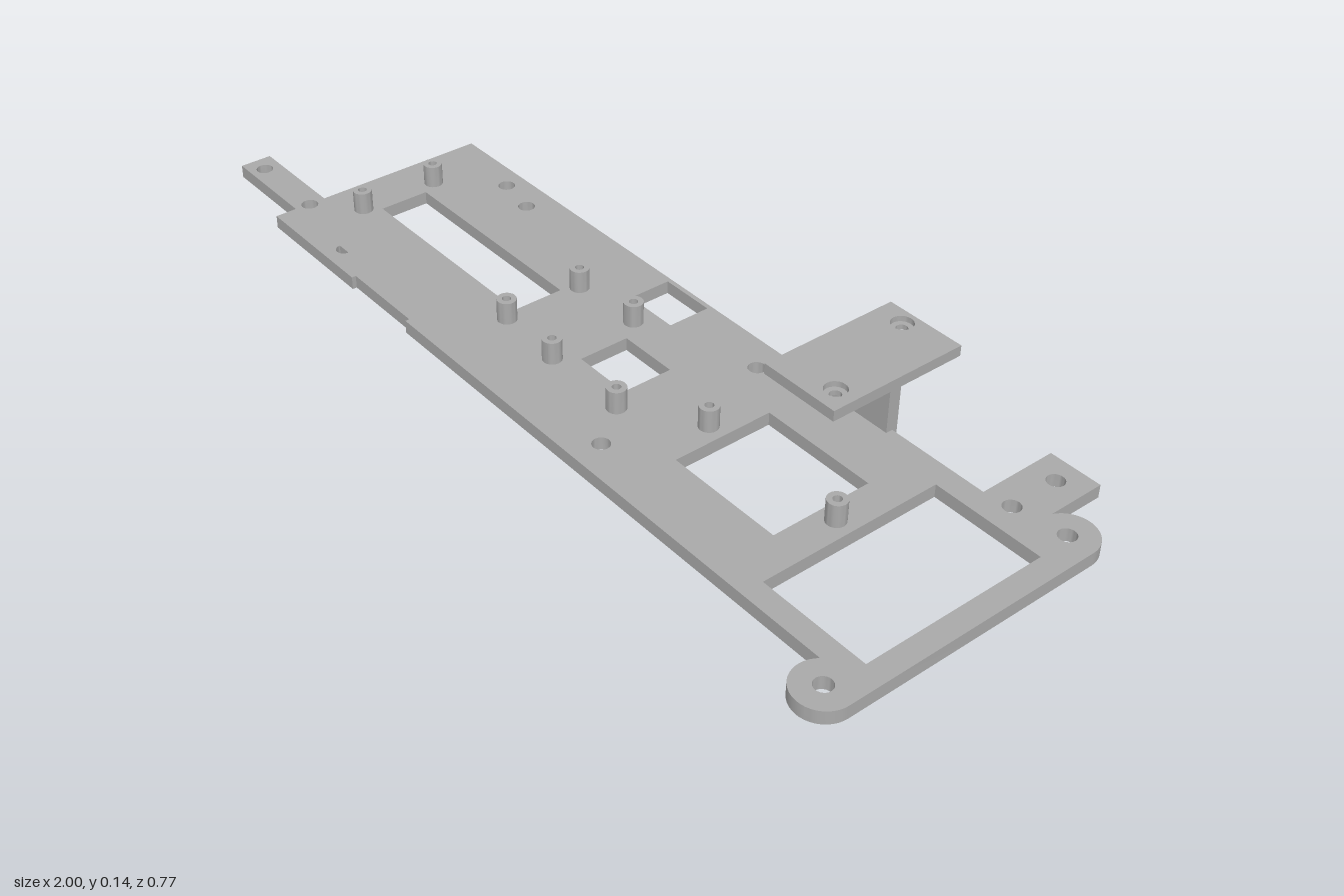
import * as THREE from 'three';
import { toCreasedNormals } from 'three/addons/utils/BufferGeometryUtils.js';

const BASE_TOP = 0.028;

// Closed path from [x, z] corners
const polygon = (points, Type = THREE.Path) =>
  new Type(points.map(([x, z]) => new THREE.Vector2(x, z)));

const rect = (x0, x1, z0, z1, Type) =>
  polygon([[x0, z0], [x1, z0], [x1, z1], [x0, z1]], Type);

const circle = (x, z, r, Type = THREE.Path) =>
  new Type().absarc(x, z, r, 0, Math.PI * 2, false);

// Extrude a plan drawn in x, z between two heights
function slab(shape, y0, y1) {
  const geometry = new THREE.ExtrudeGeometry(shape, {
    depth: y1 - y0, bevelEnabled: false, curveSegments: 12,
  });
  geometry.rotateX(Math.PI / 2);
  geometry.translate(0, y1, 0);
  return toCreasedNormals(geometry, 0.6);
}

// Screw posts and plain screw holes, as [x, z]
const standoffs = [
  [-0.68, -0.048], [-0.68, 0.13], [-0.16, -0.048], [-0.16, 0.13],
  [0, -0.057], [0, 0.14], [0.196, 0.14], [0.342, 0.043], [0.674, 0.043],
];
const screwHoles = [
  [-0.572, -0.165], [-0.476, -0.148], [0.262, -0.145], [0.262, 0.227],
  [-0.957, 0.21], [-0.768, 0.21], [0.834, -0.332], [0.834, -0.22],
  [0.943, -0.237], [0.943, 0.325],
];

// Base outline with end tab, rear tab, two round lugs and a shallow edge notch
function baseShape() {
  const s = new THREE.Shape();
  s.moveTo(-0.77, -0.21);
  s.lineTo(0.777, -0.21);
  s.lineTo(0.777, -0.384);
  s.lineTo(0.89, -0.384);
  s.absarc(0.943, -0.237, 0.057, -Math.PI + 0.377, 0, false);
  s.absarc(0.943, 0.325, 0.057, 0, Math.PI + 0.661, false);
  for (const [x, z] of [
    [-0.277, 0.29], [-0.277, 0.281], [-0.472, 0.281], [-0.472, 0.29],
    [-0.77, 0.29], [-0.77, 0.243], [-1, 0.243], [-1, 0.173], [-0.77, 0.173],
  ]) s.lineTo(x, z);
  s.closePath();

  // Windows
  s.holes.push(
    rect(0.712, 0.952, -0.16, 0.243),
    rect(0.38, 0.637, -0.07, 0.152),
    rect(-0.657, -0.176, -0.012, 0.098),
    rect(0.035, 0.166, -0.012, 0.098),
    rect(-0.068, 0.054, -0.2, -0.106),
  );
  // Screw holes
  for (const [x, z] of screwHoles) s.holes.push(circle(x, z, 0.018));
  for (const [x, z] of standoffs) s.holes.push(circle(x, z, 0.009));
  // Half-round hole
  const half = new THREE.Path();
  half.absarc(-0.572, 0.246, 0.017, 0, Math.PI, false);
  half.closePath();
  s.holes.push(half);
  return s;
}

export function createModel() {
  const model = new THREE.Group();
  model.name = 'mountingPlate';
  const grey = new THREE.MeshStandardMaterial({ color: 0xaaaaaa });
  grey.name = 'grey';

  const add = (name, geometry, parent = model) => {
    const mesh = new THREE.Mesh(geometry, grey);
    mesh.name = name;
    parent.add(mesh);
  };

  add('basePlate', slab(baseShape(), 0, BASE_TOP));

  // Hollow standoffs
  const posts = new THREE.Group();
  posts.name = 'standoffs';
  model.add(posts);
  for (const [x, z] of standoffs) {
    const ring = circle(x, z, 0.02, THREE.Shape);
    ring.holes.push(circle(x, z, 0.009));
    add('standoff', slab(ring, BASE_TOP, 0.076), posts);
  }

  // Raised shelf on an upright web, with counterbored holes
  const bracket = new THREE.Group();
  bracket.name = 'raisedBracket';
  model.add(bracket);
  add('web', slab(rect(0.375, 0.555, -0.222, -0.195, THREE.Shape), 0, 0.12), bracket);
  for (const [name, y0, y1, r] of [
    ['shelfLower', 0.12, 0.131, 0.012],
    ['shelfUpper', 0.131, 0.143, 0.023],
  ]) {
    const plan = rect(0.375, 0.555, -0.373, -0.056, THREE.Shape);
    plan.holes.push(circle(0.438, -0.34, r), circle(0.51, -0.103, r));
    add(name, slab(plan, y0, y1), bracket);
  }
  return model;
}
